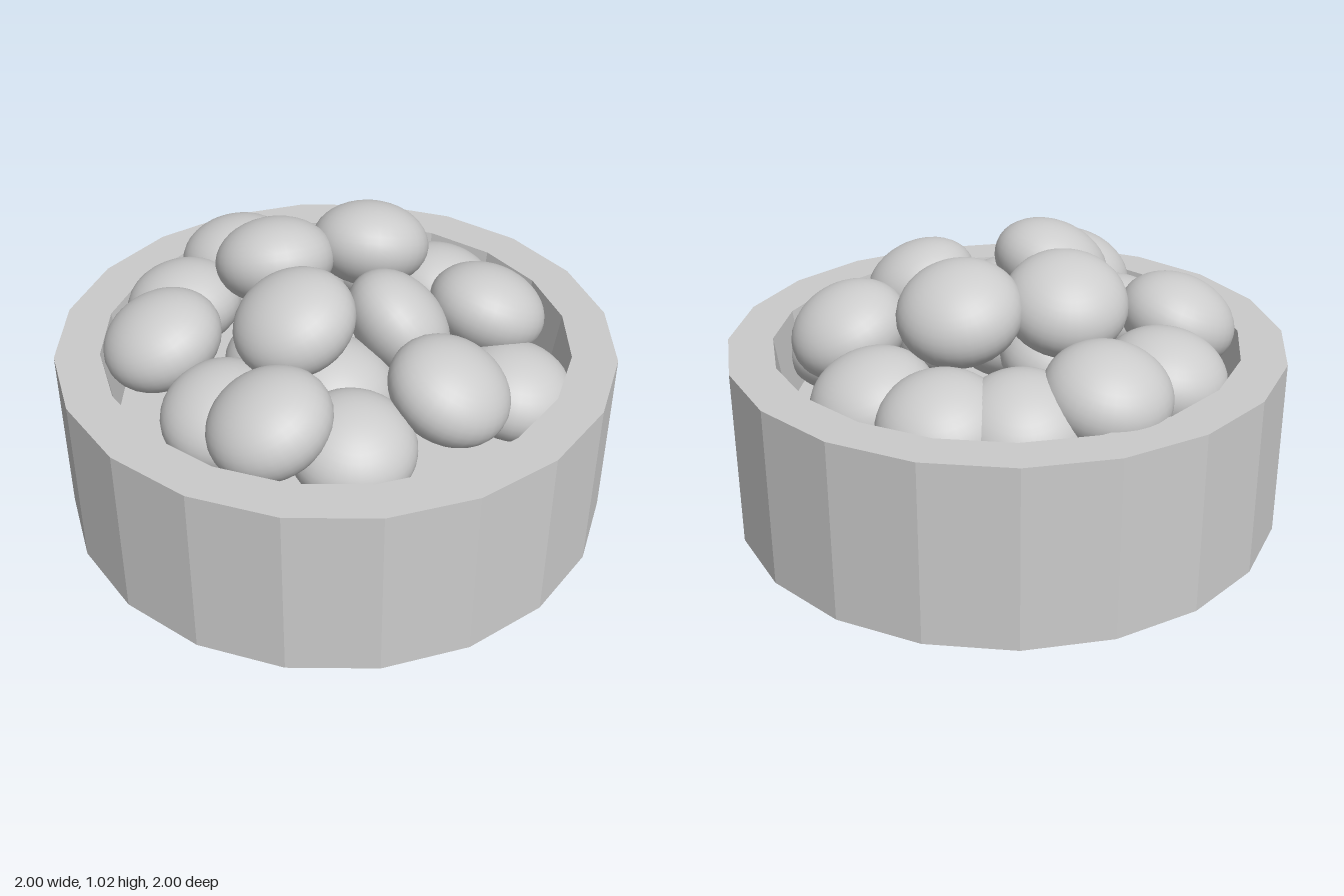
import * as THREE from 'three';

const material = new THREE.MeshStandardMaterial({ color: 0xcccccc });
const SIDES = 20;

// Round tub: flat-faced, with a thick rim and a slightly tapered inside
function makeTub() {
  const profile = [[0, 0], [1, 0], [1, 0.65], [0.84, 0.65], [0.8, 0.38], [0, 0.38]]
    .map(([r, y]) => new THREE.Vector2(r, y));
  const geometry = new THREE.LatheGeometry(profile, SIDES).toNonIndexed();
  geometry.computeVertexNormals();
  const tub = new THREE.Mesh(geometry, material);
  tub.name = 'tub';
  return tub;
}

// Flattened balls: x, y, z of the centre, then the lean of the short axis in x and z
const BALLS = [
  // top of the heap
  [-0.03, 0.855, -0.33, -0.1, -0.4],
  [-0.28, 0.855, -0.06, -0.3, -0.3],
  [-0.02, 0.85, 0.265, -0.25, 0.35],
  // middle ring
  [0.435, 0.695, -0.355, 0.2, -0.4],
  [-0.58, 0.68, -0.285, -0.25, -0.1],
  [-0.49, 0.7, 0.375, -0.3, 0.25],
  [0.08, 0.695, 0.615, -0.3, 0.3],
  [0.52, 0.695, 0.18, 0.45, -0.1],
  [0.2, 0.705, -0.1, 0.9, -0.9],
  // bottom layer
  [-0.16, 0.595, -0.62, -0.1, -0.3],
  [0.15, 0.59, -0.585, 0.1, -0.3],
  [-0.38, 0.595, -0.48, -0.2, -0.3],
  [-0.62, 0.63, 0.04, -0.2, 0],
  [0.625, 0.51, -0.165, 0.2, 0],
  [0.31, 0.585, 0.475, 0.2, 0.2],
  [-0.155, 0.59, 0.525, 0, 0.3],
  [-0.16, 0.57, 0.1, -0.2, 0],
  [0.09, 0.57, 0.18, 0.2, 0],
];

function makeBalls() {
  const heap = new THREE.Group();
  heap.name = 'heapOfBalls';
  const geometry = new THREE.SphereGeometry(1, 32, 20);
  const up = new THREE.Vector3(0, 1, 0);
  for (const [x, y, z, leanX, leanZ] of BALLS) {
    const ball = new THREE.Mesh(geometry, material);
    ball.name = 'ball';
    ball.position.set(x, y, z);
    ball.scale.set(0.216, 0.157, 0.216);
    ball.quaternion.setFromUnitVectors(up, new THREE.Vector3(leanX, 1, leanZ).normalize());
    heap.add(ball);
  }
  return heap;
}

export function createModel() {
  const model = new THREE.Group();
  model.name = 'tubOfBalls';
  model.add(makeTub(), makeBalls());
  return model;
}
